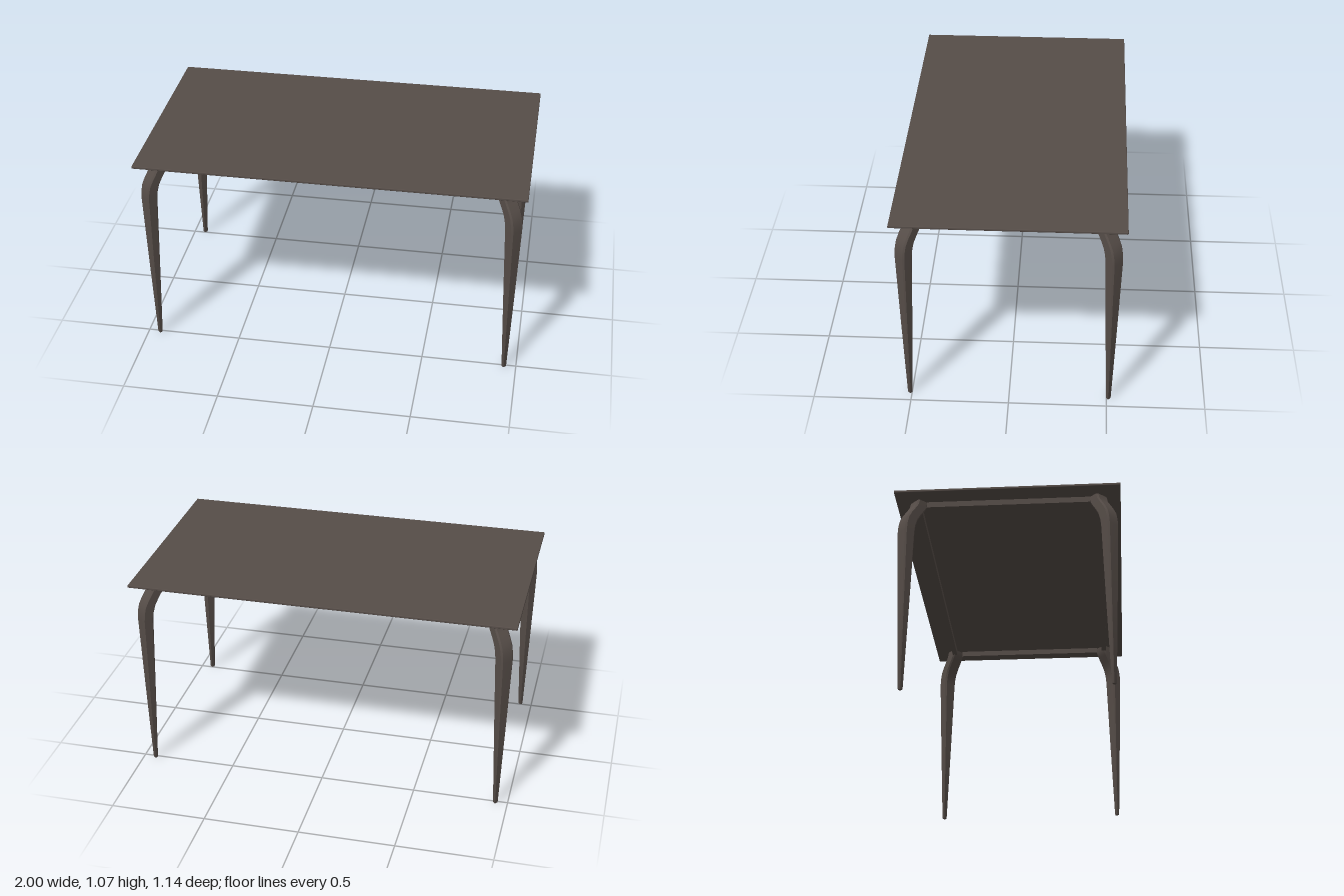
import * as THREE from 'three';
import { toCreasedNormals } from 'three/addons/utils/BufferGeometryUtils.js';
import { RoundedBoxGeometry } from 'three/addons/geometries/RoundedBoxGeometry.js';

const TOP = 1.06; // underside of the table top
const LEG_X = 0.937, LEG_Z = 0.51; // foot positions
const RAIL_X = 0.883, RAIL_Z = 0.457; // rail centre lines

// Leg cross-sections from foot to top: outward shift, height, width, depth, chamfer
const SECTIONS = [
  [0, 0, 0.019, 0.015, 0.003],
  [0, 0.006, 0.022, 0.018, 0.003],
  [0, 0.45, 0.049, 0.041, 0.005],
  [0, 0.86, 0.074, 0.061, 0.008],
  [-0.004, 0.9, 0.075, 0.062, 0.008],
  [-0.014, 0.937, 0.075, 0.065, 0.008],
  [-0.032, 0.97, 0.075, 0.067, 0.008],
  [-0.055, 1.005, 0.075, 0.067, 0.008],
  [-0.07, 1.03, 0.075, 0.065, 0.008],
  [-0.076, TOP, 0.074, 0.061, 0.008],
];

// Chamfered rectangular sections lofted upward; local +x points to the table corner
function legGeometry() {
  const pos = [], index = [], n = 8;
  for (const [shift, y, w, d, c] of SECTIONS) {
    const a = d / 2, b = w / 2;
    const ring = [[a, b - c], [a - c, b], [c - a, b], [-a, b - c],
      [-a, c - b], [c - a, -b], [a - c, -b], [a, c - b]];
    for (const [x, z] of ring) pos.push(shift + x, y, z);
  }
  for (let s = 0; s < SECTIONS.length - 1; s++) {
    for (let i = 0; i < n; i++) {
      const p = s * n + i, q = s * n + (i + 1) % n;
      index.push(p, p + n, q, q, p + n, q + n);
    }
  }
  // End caps
  const t = (SECTIONS.length - 1) * n;
  for (let i = 1; i < n - 1; i++) index.push(0, i, i + 1, t, t + i + 1, t + i);
  const g = new THREE.BufferGeometry();
  g.setAttribute('position', new THREE.Float32BufferAttribute(pos, 3));
  g.setIndex(index);
  return toCreasedNormals(g, Math.PI / 7);
}

export function createModel() {
  const group = new THREE.Group();
  const wood = new THREE.MeshStandardMaterial({ color: 0x564d48 });
  wood.name = 'dark brown';

  const add = (name, geometry, x, y, z) => {
    const mesh = new THREE.Mesh(geometry, wood);
    mesh.name = name;
    mesh.position.set(x, y, z);
    group.add(mesh);
    return mesh;
  };

  // Thin top with softened edges
  add('tableTop', new RoundedBoxGeometry(2, 0.013, 1.14, 2, 0.003), 0, TOP + 0.0065, 0);

  // Four legs, each turned diagonally towards its corner
  const leg = legGeometry();
  for (const sx of [-1, 1]) {
    for (const sz of [-1, 1]) {
      const name = (sz > 0 ? 'front' : 'back') + (sx > 0 ? 'Left' : 'Right') + 'Leg';
      add(name, leg, sx * LEG_X, 0, sz * LEG_Z).rotation.y = -Math.atan2(sz, sx);
    }
  }

  // Rails under the top, running between the legs
  const longRail = new THREE.BoxGeometry(1.69, 0.03, 0.028);
  const shortRail = new THREE.BoxGeometry(0.028, 0.03, 0.83);
  for (const s of [-1, 1]) {
    add(s > 0 ? 'frontRail' : 'backRail', longRail, 0, TOP - 0.015, s * RAIL_Z);
    add(s > 0 ? 'leftRail' : 'rightRail', shortRail, s * RAIL_X, TOP - 0.015, 0);
  }
  return group;
}
